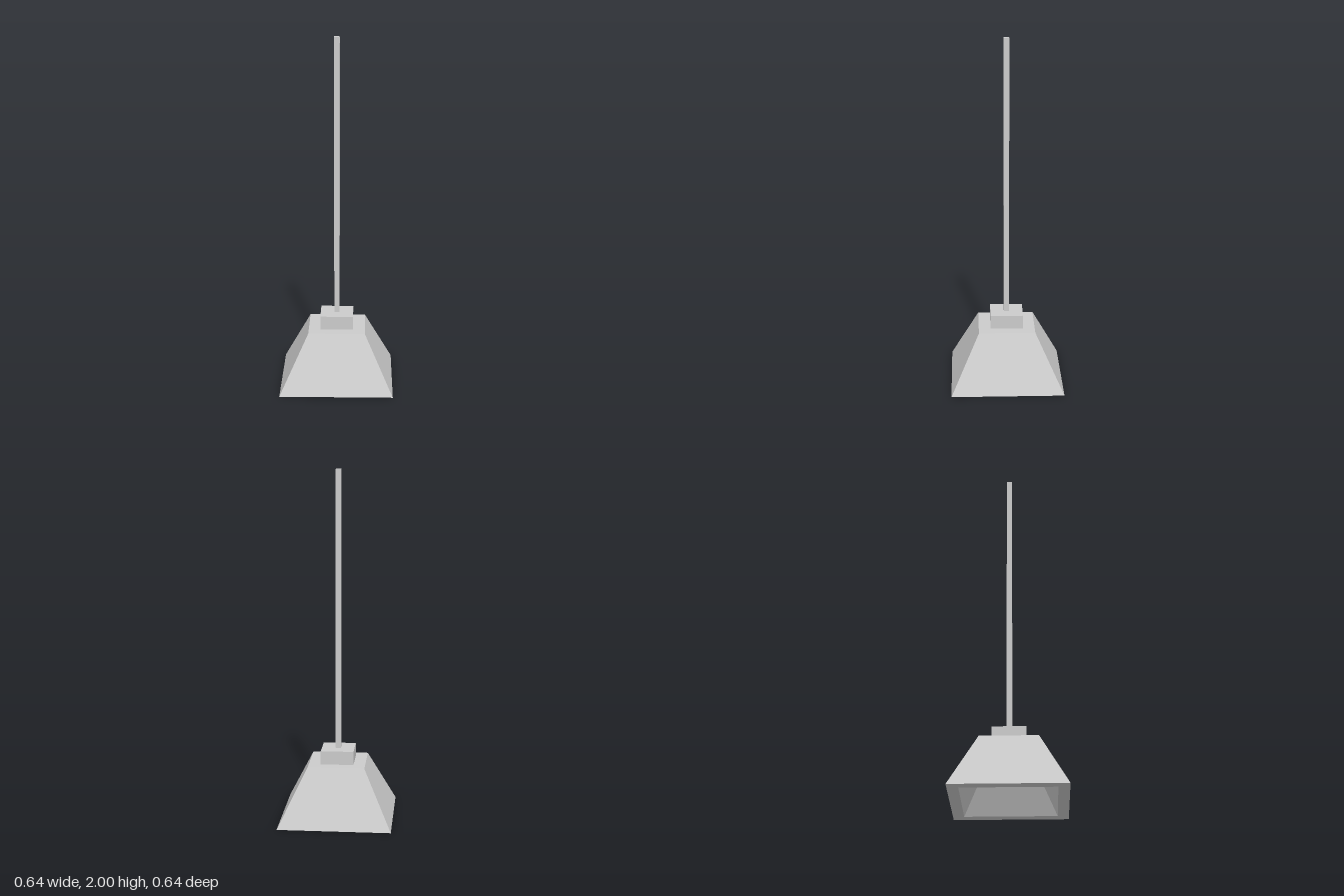
import * as THREE from 'three';

const material = new THREE.MeshStandardMaterial({ color: 0xcccccc, flatShading: true });

function add(group, name, geometry, x, y, z) {
  const mesh = new THREE.Mesh(geometry, material);
  mesh.name = name;
  mesh.position.set(x, y, z);
  group.add(mesh);
}

// Square solid of revolution: profile entries are [half width, height]
function squareLathe(profile) {
  const points = profile.map(([half, y]) => new THREE.Vector2(half * Math.SQRT2, y));
  const geometry = new THREE.LatheGeometry(points, 4, Math.PI / 4).toNonIndexed();
  geometry.computeVertexNormals();
  return geometry;
}

export function createModel() {
  const group = new THREE.Group();
  group.name = 'pendantLamp';

  // Hollow tapered shade: inner ceiling, inner walls, rim, outer walls, top
  add(group, 'shade', squareLathe([
    [0, 0.24], [0.14, 0.24], [0.26, 0], [0.322, 0], [0.162, 0.322], [0, 0.322],
  ]), 0, 0, 0);

  // Square collar on top of the shade
  add(group, 'collar', new THREE.BoxGeometry(0.188, 0.078, 0.188), -0.001, 0.361, -0.001);

  // Long square hanging rod
  add(group, 'rod', new THREE.BoxGeometry(0.031, 1.6, 0.031), -0.001, 1.2, -0.001);

  return group;
}
